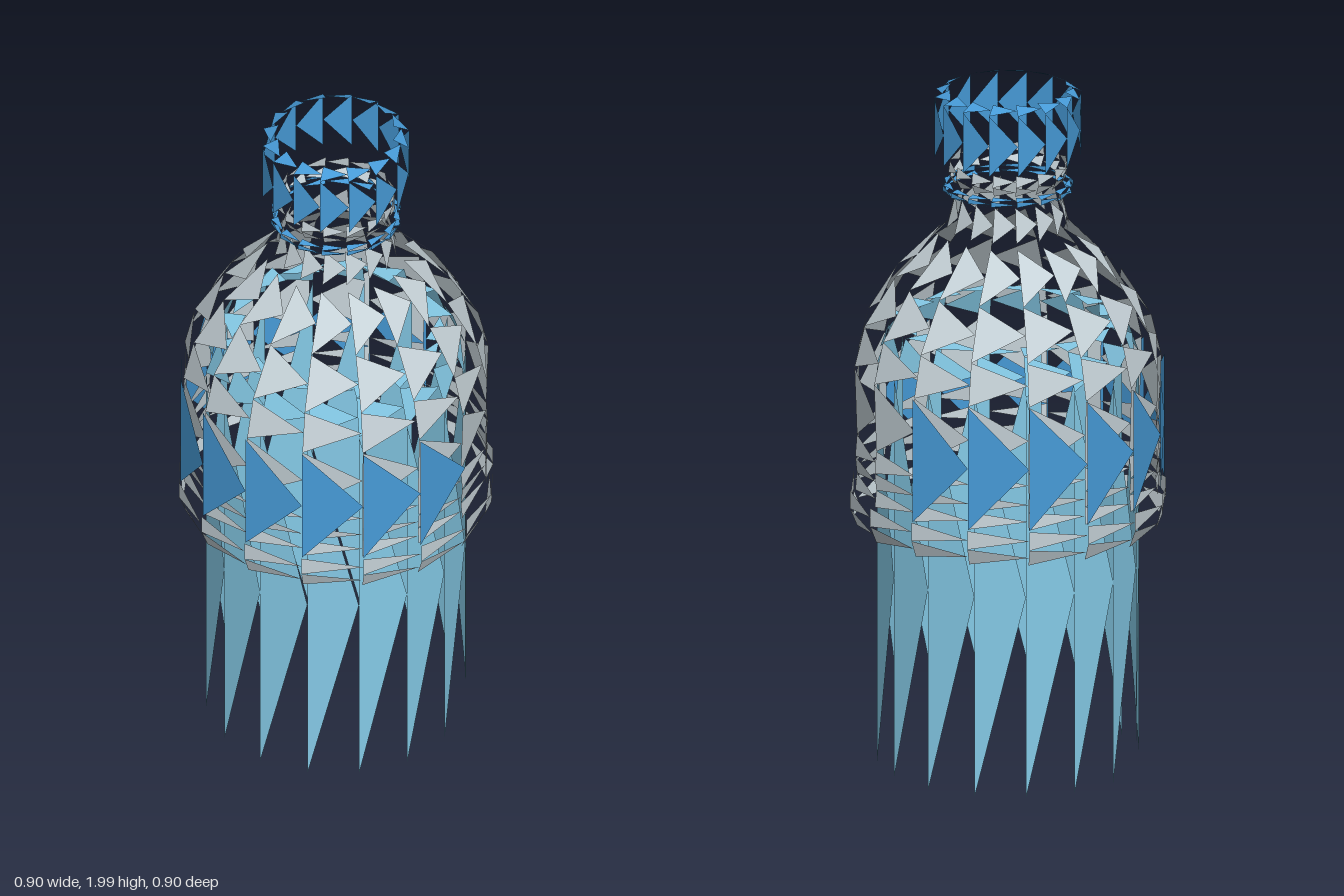
import * as THREE from 'three';

const SIDES = 16;
const STEP = (Math.PI * 2) / SIDES;

const material = (name, color) => {
  const m = new THREE.MeshStandardMaterial({ color, side: THREE.DoubleSide, flatShading: true });
  m.name = name;
  return m;
};

// Point on a ring; the angle starts at the front and turns towards +x
const ringPoint = (column, r, y) => [r * Math.sin(column * STEP), y, r * Math.cos(column * STEP)];

// Rows of triangular shards along a profile of [radius, height] points.
// Each shard has an upright edge on one column and its tip halfway up the next.
function shards(name, profile, mat, first = 0, last = SIDES) {
  const positions = [];
  for (let row = 0; row < profile.length - 1; row++) {
    const [r0, y0] = profile[row];
    const [r1, y1] = profile[row + 1];
    for (let i = first; i < last; i++) {
      positions.push(
        ...ringPoint(i, r0, y0),
        ...ringPoint(i + 1, (r0 + r1) / 2, (y0 + y1) / 2),
        ...ringPoint(i, r1, y1)
      );
    }
  }
  const geometry = new THREE.BufferGeometry();
  geometry.setAttribute('position', new THREE.Float32BufferAttribute(positions, 3));
  geometry.computeVertexNormals();
  const mesh = new THREE.Mesh(geometry, mat);
  mesh.name = name;
  return mesh;
}

export function createModel() {
  const group = new THREE.Group();
  group.name = 'shardBottle';

  const glass = material('pale grey glass', 0xc6d2d8);
  const water = material('light blue water', 0x87cdea);
  const blue = material('bright blue plastic', 0x479bd8);

  group.add(
    // Long water spikes with a short shoulder and surface rim
    shards('water', [[0.373, 0.01], [0.373, 1.2], [0.335, 1.31], [0.26, 1.312]], water),

    // Flared rim at the lower end of the glass
    shards('lowerRim', [[0.43, 0.72], [0.45, 0.77], [0.45, 0.825]], glass),

    // Ribbed body below the shoulder
    shards('body', [[0.435, 0.825], [0.43, 0.875], [0.435, 0.925], [0.43, 0.99], [0.437, 1.19]], glass),

    // Domed shoulder running into the neck
    shards('shoulder', [[0.437, 1.19], [0.408, 1.31], [0.322, 1.45], [0.195, 1.58]], glass),
    shards('neck', [[0.175, 1.59], [0.15, 1.69]], glass),

    // Label covers three quarters of the way round
    shards('label', [[0.445, 0.825], [0.445, 1.19]], blue, 4, 16),

    // Collar and threaded mouth
    shards('collar', [[0.165, 1.695], [0.186, 1.702], [0.186, 1.718], [0.165, 1.725]], blue),
    shards('mouth', [[0.155, 1.725], [0.17, 1.755], [0.165, 1.79]], glass),

    // Open cap with a turned-in top edge
    shards('cap', [[0.21, 1.8], [0.21, 1.98], [0.165, 2]], blue)
  );
  return group;
}
